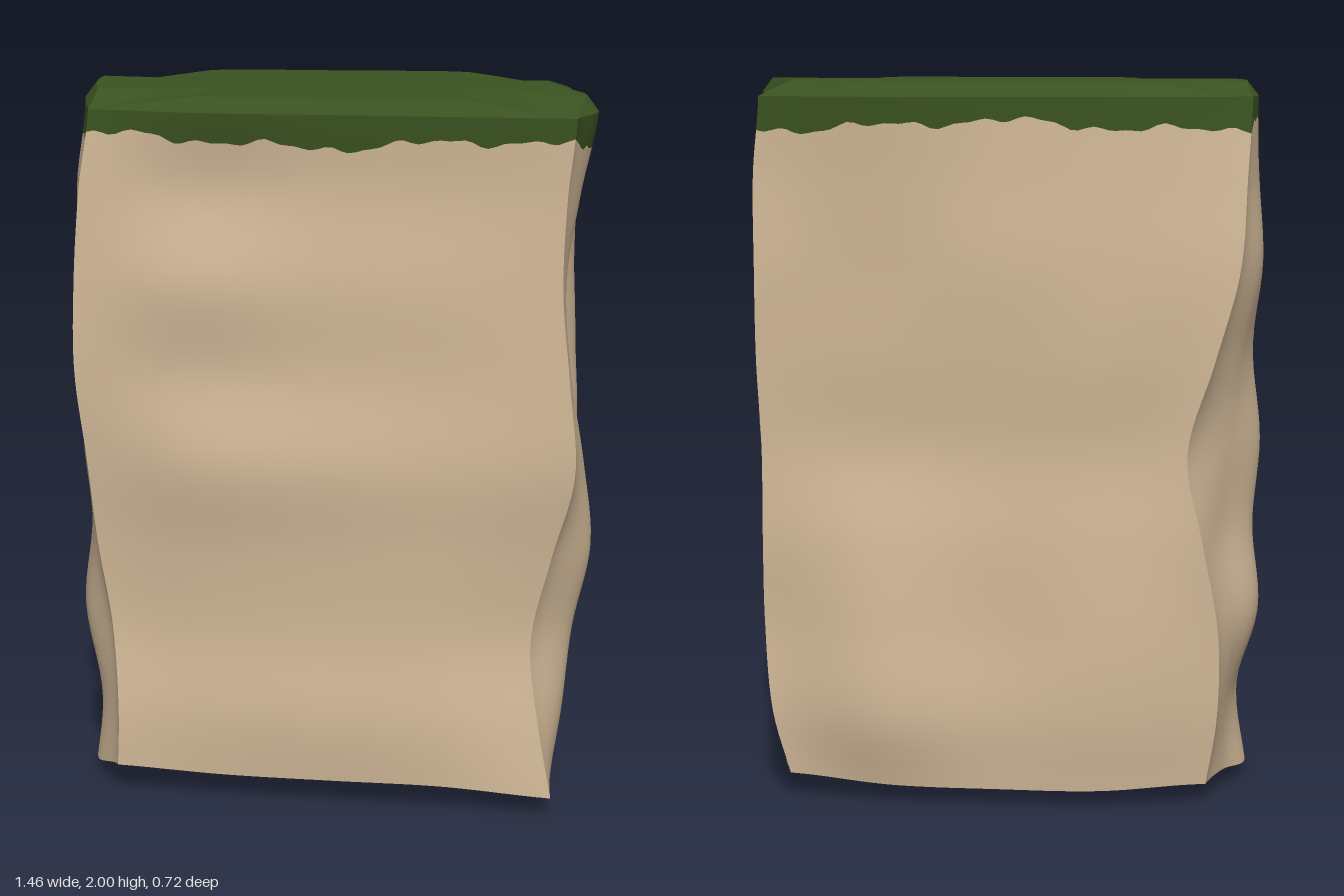
import * as THREE from 'three';
import { mergeGeometries, mergeVertices } from 'three/addons/utils/BufferGeometryUtils.js';

// Corner edges sampled at nine heights (0 to 1.96), going round from front -x
const corners = [
  { x: [-.60, -.59, -.605, -.64, -.66, -.685, -.68, -.66, -.63], z: [.31, .31, .285, .29, .31, .32, .315, .31, .30] },
  { x: [.645, .60, .57, .62, .68, .66, .635, .64, .66], z: [.33, .31, .285, .30, .33, .33, .325, .32, .325] },
  { x: [.56, .62, .64, .64, .64, .65, .65, .65, .63], z: [-.28, -.29, -.28, -.29, -.285, -.29, -.295, -.285, -.29] },
  { x: [-.585, -.62, -.62, -.575, -.53, -.60, -.665, -.68, -.69], z: [-.23, -.25, -.26, -.275, -.275, -.275, -.265, -.24, -.22] },
];

// Walls: outward bulge at three inner columns per height, and height of the bottom edge
const walls = [
  { name: 'front', out: [0, 1], cols: 64, foot: [.09, .08, .08, .08, .06], bulge: [
    [0, .02, .03, .035, .045, .01, .035, 0, .03],
    [0, .03, .04, .04, .04, .01, .02, .005, .02],
    [0, .025, .035, .03, .02, .005, .01, 0, .01]] },
  { name: 'right', out: [1, 0], cols: 36, foot: [.06, .09, .06, .055, .07], bulge: [
    [0, .05, .09, .10, .03, 0, 0, .03, .06],
    [.02, .03, .04, .03, 0, -.03, -.03, -.02, .005],
    [.03, .02, -.02, -.03, .02, .01, 0, -.03, -.045]] },
  { name: 'back', out: [0, -1], cols: 64, foot: [.07, .055, .05, .05, .06], bulge: [
    [.04, .075, .07, .04, .01, .02, .025, .05, .065],
    [.05, .06, .05, .035, .02, .035, .05, .06, .065],
    [.05, .06, .06, .04, .03, .045, .05, .06, .065]] },
  { name: 'left', out: [-1, 0], cols: 36, foot: [.06, .06, .04, .045, .09], bulge: [
    [.05, .03, .05, .03, .08, .05, .05, .03, .03],
    [.11, .06, .115, .10, .13, .06, .05, .04, .035],
    [.09, .07, .10, .06, .07, .02, .02, .03, .02]] },
];
const RIM = 1.96;

// Smooth curve through evenly spaced values
function spline(a, t) {
  const n = a.length - 1;
  const i = Math.min(Math.max(Math.floor(t), 0), n - 1);
  const f = t - i;
  const p1 = a[i], p2 = a[i + 1];
  const m1 = (p2 - a[Math.max(i - 1, 0)]) / 2;
  const m2 = (a[Math.min(i + 2, n)] - p1) / 2;
  const f2 = f * f, f3 = f2 * f;
  return p1 * (2 * f3 - 3 * f2 + 1) + m1 * (f3 - 2 * f2 + f) + p2 * (3 * f2 - 2 * f3) + m2 * (f3 - f2);
}

// Point on wall s at u (0 to 1 along it) and height y
function wallPoint(s, u, y) {
  const w = walls[s], a = corners[s], b = corners[(s + 1) % 4];
  const k = y < 1.75 ? y / 0.25 : 7 + (y - 1.75) / (RIM - 1.75);
  const bulge = spline([0, ...w.bulge.map((c) => spline(c, k)), 0], u * 4);
  const mix = (axis) => THREE.MathUtils.lerp(spline(a[axis], k), spline(b[axis], k), u);
  return new THREE.Vector3(mix('x') + w.out[0] * bulge, y, mix('z') + w.out[1] * bulge);
}

const footHeight = (s, u) => spline(walls[s].foot, u * 4);

// Ragged lower edge of the grass, the same at shared corners
function grassEdge(s, u) {
  const p = (s + u) * 2 * Math.PI / 4;
  return 1.885 + 0.012 * Math.sin(p * 5 + 1) + 0.009 * Math.sin(p * 13) +
    0.006 * Math.sin(p * 31 + 2) + 0.004 * Math.sin(p * 57);
}

// Upper edge of the bevel: raised and drawn in along each side, down at the corners
function bevelTop(s, u) {
  const p = wallPoint(s, u, RIM);
  const lift = Math.min(1, 1.6 * Math.sin(Math.PI * u));
  return p.set(p.x * (1 - 0.045 * lift), RIM + (2 - RIM) * lift, p.z * (1 - 0.07 * lift));
}

// Grid surface from a rule f(u, v)
function patch(cols, rows, f) {
  const pos = [], index = [];
  for (let j = 0; j <= rows; j++) {
    for (let i = 0; i <= cols; i++) pos.push(...f(i / cols, j / rows).toArray());
  }
  for (let j = 0; j < rows; j++) {
    for (let i = 0; i < cols; i++) {
      const a = j * (cols + 1) + i, d = a + cols + 1;
      index.push(a, a + 1, d + 1, a, d + 1, d);
    }
  }
  let g = new THREE.BufferGeometry();
  g.setAttribute('position', new THREE.Float32BufferAttribute(pos, 3));
  g.setIndex(index);
  g = mergeVertices(g, 1e-5);
  g.computeVertexNormals();
  return g;
}

// Turn a position round the whole outline into wall and u
function around(t) {
  const s = Math.min(Math.floor(t * 4), 3);
  return [s, t * 4 - s];
}

export function createModel() {
  const rock = new THREE.MeshStandardMaterial({ color: 0xd3ba99 });
  rock.name = 'tan rock';
  const grass = new THREE.MeshStandardMaterial({ color: 0x3b5321 });
  grass.name = 'dark green grass';

  const model = new THREE.Group();
  model.name = 'grassyRockBlock';
  const add = (name, geometry, material) => {
    const mesh = new THREE.Mesh(geometry, material);
    mesh.name = name;
    model.add(mesh);
  };

  // Rock walls, sharp where they meet
  walls.forEach((w, s) => {
    add(w.name + 'RockWall', patch(w.cols, 48, (u, v) =>
      wallPoint(s, u, THREE.MathUtils.lerp(footHeight(s, u), grassEdge(s, u), v))), rock);
  });

  // Mostly flat underside with a low lump near the middle
  const low = new THREE.Vector3(0.03, 0, -0.06);
  add('underside', patch(96, 12, (t, v) => {
    const [s, u] = around(t);
    const rim = wallPoint(s, u, footHeight(s, u));
    const p = low.clone().lerp(rim, v);
    p.y = rim.y * Math.pow(v, 0.45);
    return p;
  }), rock);

  // Grass hanging over the walls and the bevel above it
  const fringe = walls.map((w, s) => patch(w.cols, 3, (u, v) =>
    wallPoint(s, u, THREE.MathUtils.lerp(grassEdge(s, u), RIM, v))));
  const bevel = walls.map((w, s) => patch(w.cols, 1, (u, v) =>
    wallPoint(s, u, RIM).lerp(bevelTop(s, u), v)));
  add('grassFringe', mergeGeometries(fringe), grass);
  add('grassBevel', mergeGeometries(bevel), grass);

  // Grass top, flat but dipping to the corners
  const middle = new THREE.Vector3(0, 2, 0);
  add('grassTop', patch(96, 8, (t, v) => {
    const p = bevelTop(...around(t));
    const drop = 2 - p.y;
    p.lerp(middle, v);
    p.y = 2 - drop * Math.pow(1 - v, 4);
    return p;
  }), grass);

  return model;
}
